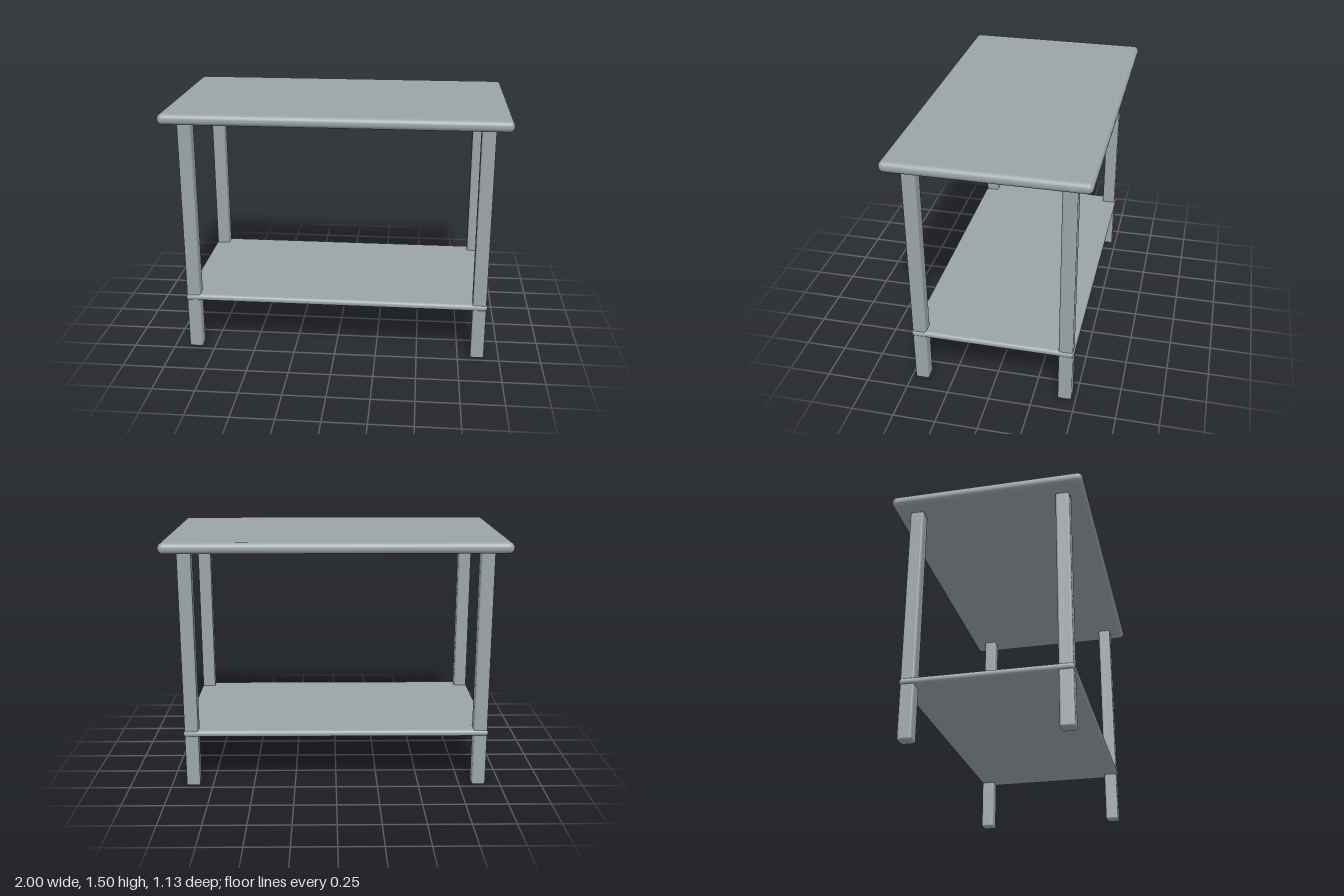
import * as THREE from 'three';
import { RoundedBoxGeometry } from 'three/addons/geometries/RoundedBoxGeometry.js';

export function createModel() {
  const table = new THREE.Group();
  table.name = 'sideTable';
  const material = new THREE.MeshStandardMaterial({ color: 0x9aa4a7 });

  // Rounded slab or post, placed by its bottom height
  function addBox(name, [w, h, d], radius, x, bottom, z) {
    const mesh = new THREE.Mesh(new RoundedBoxGeometry(w, h, d, 5, radius), material);
    mesh.name = name;
    mesh.position.set(x, bottom + h / 2, z);
    table.add(mesh);
  }

  // Table top and lower shelf
  addBox('tableTop', [2, 0.064, 1.13], 0.03, 0, 1.435, 0);
  addBox('lowerShelf', [1.832, 0.04, 0.965], 0.019, 0, 0.315, 0);

  // Four square legs passing through the shelf corners
  for (const [side, sx] of [['Left', 1], ['Right', -1]]) {
    for (const [end, sz] of [['front', 1], ['back', -1]]) {
      addBox(`${end}${side}Leg`, [0.082, 1.435, 0.082], 0.012, sx * 0.868, 0, sz * 0.435);
    }
  }

  return table;
}
